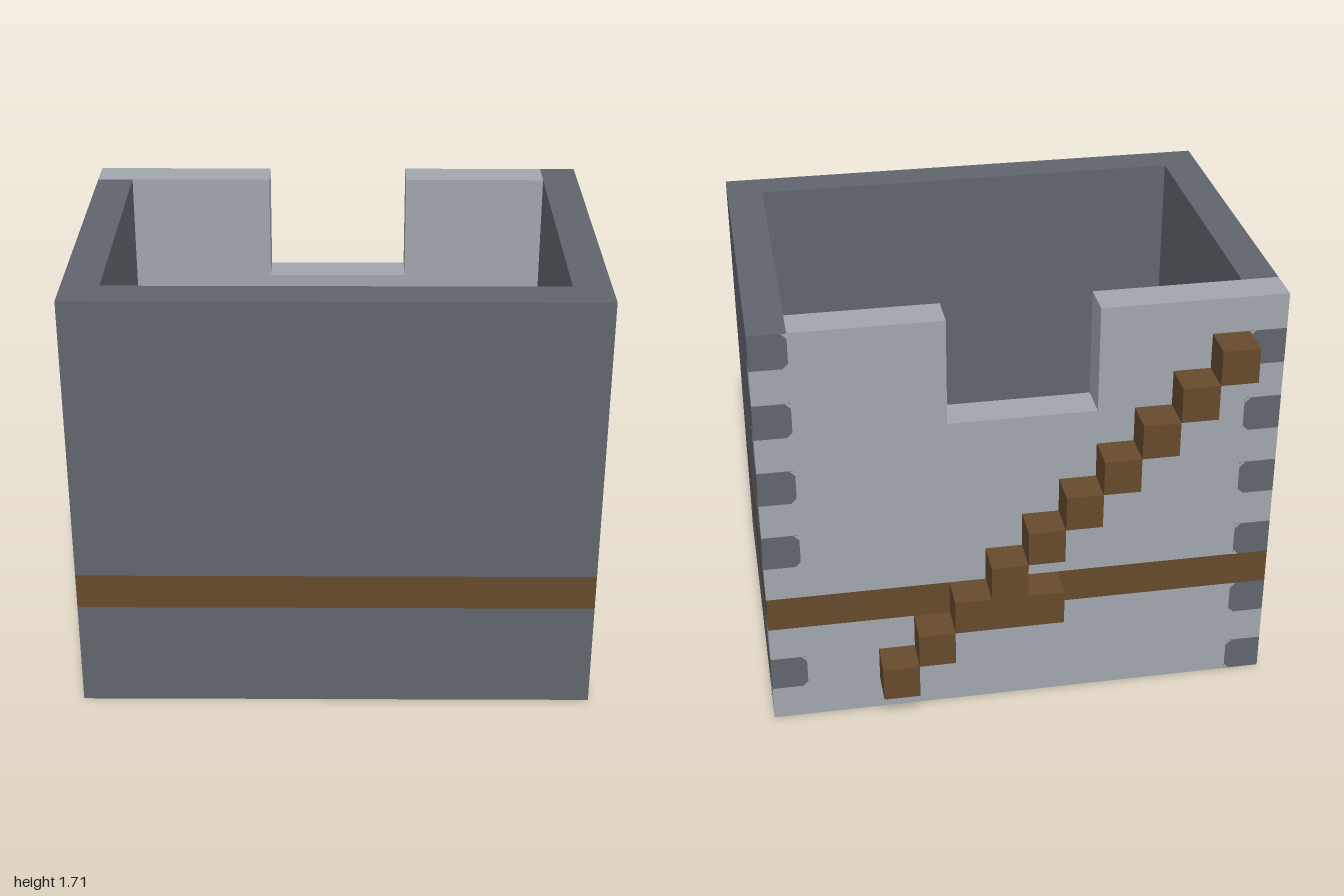
import * as THREE from 'three';

const U = 1 / 7; // one block
const X0 = -1, Z0 = -4.5 * U; // low corner of the hollow box

export function createModel() {
  const model = new THREE.Group();
  const material = (name, color) => {
    const m = new THREE.MeshStandardMaterial({ color });
    m.name = name;
    return m;
  };
  const dark = material('dark grey', 0x60656d);
  const light = material('light grey', 0xa1a5ad);
  const brown = material('brown', 0x664a2d);

  // Box given by its low corner and size, counted in blocks
  const block = (name, mat, x, y, z, w, h, d) => {
    const mesh = new THREE.Mesh(new THREE.BoxGeometry(w * U, h * U, d * U), mat);
    mesh.position.set(X0 + (x + w / 2) * U, (y + h / 2) * U, Z0 + (z + d / 2) * U);
    mesh.name = name;
    model.add(mesh);
  };

  // Front and side walls, in three layers with the belt between
  const layers = [['lower', 0, 3, dark], ['belt', 3, 1, brown], ['upper', 4, 8, dark]];
  for (const [name, y, h, mat] of layers) {
    block(name + 'FrontWall', mat, 0, y, 9, 14, h, 1);
    block(name + 'LeftWall', mat, 13, y, 1, 1, h, 8);
    block(name + 'RightWall', mat, 0, y, 1, 1, h, 8);
  }

  // Back wall with the square notch in its top edge
  block('lowerBackWall', light, 1, 0, 0, 12, 3, 1);
  block('beltBackWall', brown, 0, 3, 0, 14, 1, 1);
  block('upperBackWall', light, 1, 4, 0, 12, 5, 1);
  block('backWallTop', light, 1, 9, 0, 4, 3, 1);
  block('backWallTop', light, 9, 9, 0, 4, 3, 1);

  // Interlocking corner teeth, with clipped tips
  const c = 0.022;
  const clip = (mat, points) => {
    const g = new THREE.BufferGeometry();
    g.setAttribute('position', new THREE.Float32BufferAttribute(points.flat(), 3));
    g.computeVertexNormals();
    const mesh = new THREE.Mesh(g, mat);
    mesh.name = 'toothTipClip';
    model.add(mesh);
  };
  for (const side of [1, -1]) {
    for (let row = 0; row < 12; row++) {
      if (row === 3) continue;
      const isLight = (row % 2 === 0) === (side === 1);
      block('cornerTooth', isLight ? light : dark, side === 1 ? 13 : 0, row, 0, 1, 1, 1);
      for (const up of [1, -1]) {
        const y = (row + (up === 1 ? 1 : 0)) * U;
        if (isLight) {
          // tip seen on the side face
          const x = side * 1.002, z = Z0 + U;
          const p = [[x, y, z], [x, y, z - c], [x, y - up * c, z]];
          clip(dark, side * up === 1 ? [p[0], p[2], p[1]] : p);
        } else {
          // tip seen on the back face
          const x = side * (1 - U), z = Z0 - 0.002;
          const p = [[x, y, z], [x + side * c, y, z], [x, y - up * c, z]];
          clip(light, side * up === 1 ? p : [p[0], p[2], p[1]]);
        }
      }
    }
  }

  // Stepped diagonal bar on the back, with a short guard
  for (let row = 1; row <= 10; row++) block('diagonalBar', brown, 11 - row, row, -1, 1, 1, 1);
  block('guard', brown, 6, 3, -1, 2, 1, 1);

  return model;
}
